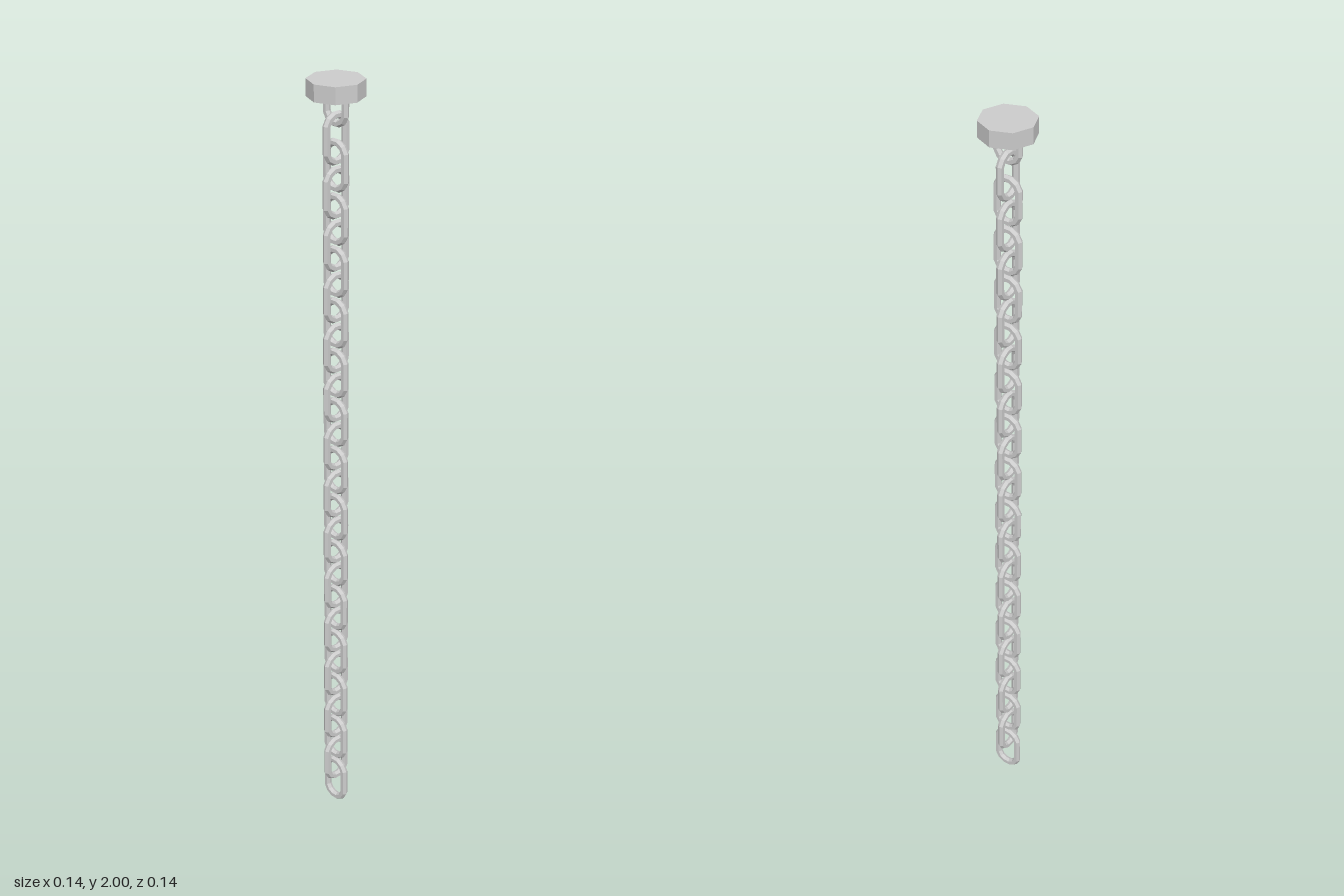
import * as THREE from 'three';

const material = new THREE.MeshStandardMaterial({ color: 0xcccccc, flatShading: true });

const SEGMENTS = 12;
const WIRE = 0.0095;
const RING = 0.0318;
const PITCH = 0.0664; // height between neighbouring links

// A torus pulled apart along y into a long link
function linkGeometry(stretch) {
  const geometry = new THREE.TorusGeometry(RING, WIRE, 6, SEGMENTS);
  geometry.rotateZ(Math.PI / SEGMENTS);
  const pos = geometry.attributes.position;
  for (let i = 0; i < pos.count; i++) {
    const y = pos.getY(i);
    pos.setY(i, y + Math.sign(y) * stretch);
  }
  geometry.computeVertexNormals();
  return geometry;
}

export function createModel() {
  const model = new THREE.Group();
  model.name = 'hangingChain';

  const add = (name, geometry, y, turn = 0) => {
    const mesh = new THREE.Mesh(geometry, material);
    mesh.name = name;
    mesh.position.y = y;
    mesh.rotation.y = turn;
    model.add(mesh);
  };

  // Eight-sided ceiling mount
  add('ceilingMount', new THREE.CylinderGeometry(0.07, 0.07, 0.042, 8), 1.979);

  // Short loop whose upper end is buried in the mount
  add('mountLoop', linkGeometry(0.01), 1.935);

  // Chain from the bottom up, each link a quarter turn from the last
  const link = linkGeometry(0.025);
  for (let i = 0; i < 28; i++) {
    add('chainLink' + (i + 1), link, 0.065 + i * PITCH, (i % 2) * Math.PI / 2);
  }

  return model;
}
